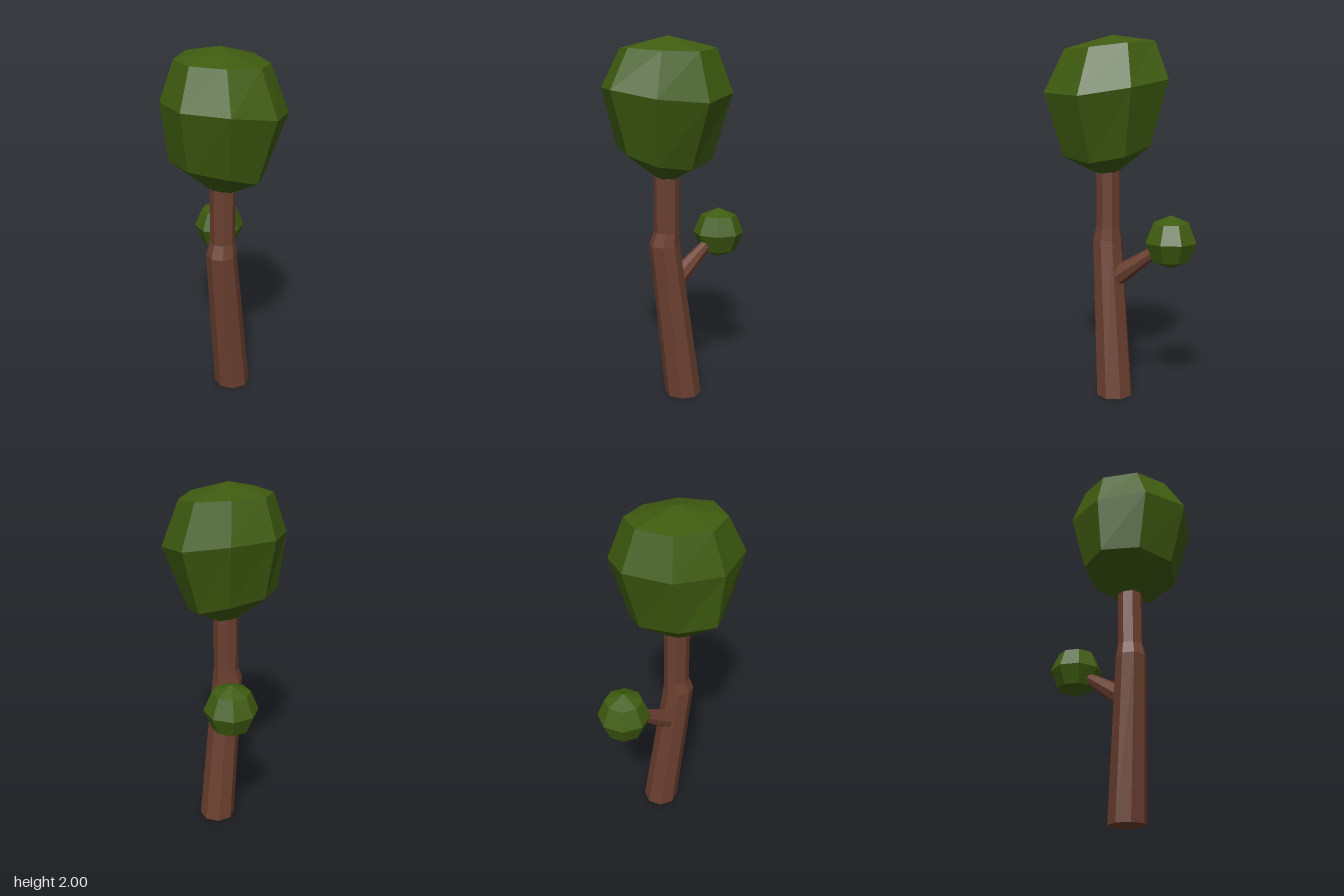
import * as THREE from 'three';

const SIDES = 8;

// One cross-section: centre, radii, tilt of its plane, and a sideways bow at its x ends.
function ring({ c, rx, rz = rx, tiltX = 0, tiltZ = 0, bowX = 0, bowY = 0 }) {
  return Array.from({ length: SIDES }, (_, i) => {
    const a = (i / SIDES) * Math.PI * 2, cos = Math.cos(a), sin = Math.sin(a);
    return new THREE.Vector3(
      c[0] + rx * cos + bowX * cos * cos,
      c[1] + tiltX * cos + tiltZ * sin + bowY * cos * cos,
      c[2] + rz * sin);
  });
}

// Faceted skin through rings from bottom to top, closed by a point at each end.
function loft(rings, bottom, top) {
  const pts = [];
  const last = rings[rings.length - 1];
  for (let i = 0; i < SIDES; i++) {
    const j = (i + 1) % SIDES;
    pts.push(bottom, rings[0][i], rings[0][j]);
    for (let k = 0; k < rings.length - 1; k++) {
      const lo = rings[k], hi = rings[k + 1];
      pts.push(lo[i], hi[i], lo[j], lo[j], hi[i], hi[j]);
    }
    pts.push(last[i], top, last[j]);
  }
  const geometry = new THREE.BufferGeometry().setFromPoints(pts);
  geometry.computeVertexNormals();
  return geometry;
}

function faceted(geometry) {
  const flat = geometry.toNonIndexed();
  flat.computeVertexNormals();
  return flat;
}

export function createModel() {
  const tree = new THREE.Group();
  tree.name = 'tree';
  const bark = new THREE.MeshStandardMaterial({ color: 0x6b3f30 });
  bark.name = 'bark brown';
  const leaf = new THREE.MeshStandardMaterial({ color: 0x3f5c10 });
  leaf.name = 'leaf green';

  const add = (name, geometry, material) => {
    const mesh = new THREE.Mesh(geometry, material);
    mesh.name = name;
    tree.add(mesh);
    return mesh;
  };
  const v = (x, y, z) => new THREE.Vector3(x, y, z);

  // Leaning trunk that straightens above the bend
  add('trunk', loft([
    ring({ c: [0.05, 0, 0.012], rx: 0.103 }),
    ring({ c: [-0.018, 0.875, 0.09], rx: 0.085 }),
    ring({ c: [-0.01, 0.95, 0.081], rx: 0.07 }),
    ring({ c: [-0.01, 1.32, 0.08], rx: 0.07 }),
  ], v(0.05, 0, 0.012), v(-0.01, 1.32, 0.08)), bark);

  // Tapering side branch at the back
  const from = v(0, 0.655, 0.04), to = v(0, 0.88, -0.28);
  const branch = add('branch',
    faceted(new THREE.CylinderGeometry(0.024, 0.06, from.distanceTo(to), SIDES)), bark);
  branch.position.copy(from).lerp(to, 0.5);
  branch.quaternion.setFromUnitVectors(v(0, 1, 0), to.clone().sub(from).normalize());

  // Large lopsided crown
  add('crown', loft([
    ring({ c: [0, 1.4, 0.085], rx: 0.247, rz: 0.265, tiltX: -0.0525, tiltZ: -0.005, bowX: -0.047, bowY: -0.033 }),
    ring({ c: [0, 1.742, 0.083], rx: 0.33, rz: 0.367, tiltX: -0.0325, tiltZ: -0.0125, bowY: -0.045 }),
    ring({ c: [-0.01, 1.945, 0.065], rx: 0.245, rz: 0.265, tiltX: -0.0125, tiltZ: -0.0125, bowY: -0.018 }),
  ], v(-0.02, 1.215, 0.08), v(-0.02, 2, 0.06)), leaf);

  // Small round leaf ball on the branch
  add('leafBall', faceted(new THREE.SphereGeometry(0.146, SIDES, 4)), leaf)
    .position.set(0, 0.89, -0.305);

  return tree;
}
